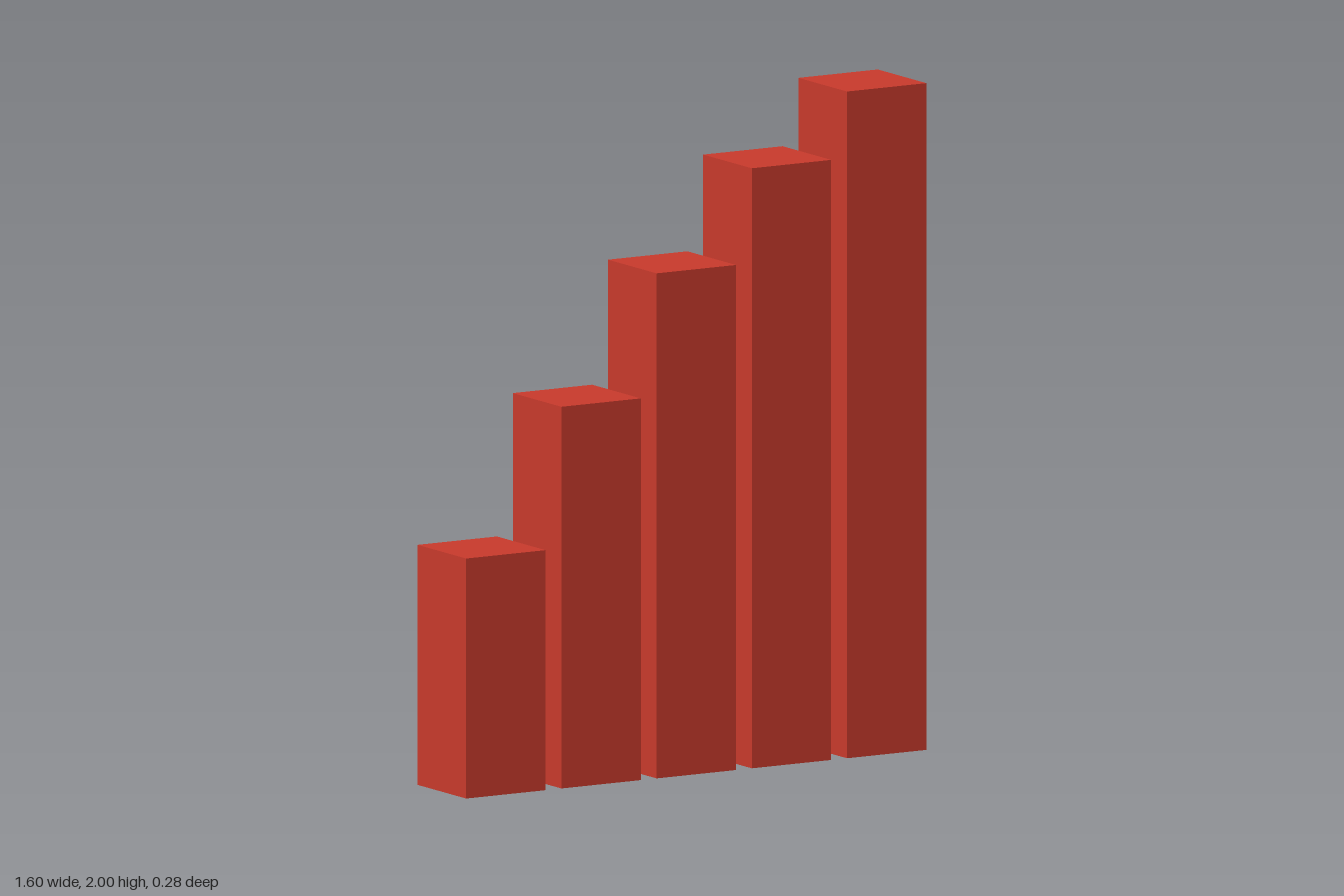
import * as THREE from 'three';

const WIDTH = 0.275;
const PITCH = 0.33;
const HEIGHTS = [0.72, 1.145, 1.515, 1.8, 2];

export function createModel() {
  const model = new THREE.Group();
  model.name = 'barChart';
  const red = new THREE.MeshStandardMaterial({ color: 0xc93a2c });
  red.name = 'red';

  // Row of square bars, rising towards +x
  HEIGHTS.forEach((height, i) => {
    const bar = new THREE.Mesh(new THREE.BoxGeometry(WIDTH, height, WIDTH), red);
    bar.name = `bar${i + 1}`;
    bar.position.set((i - (HEIGHTS.length - 1) / 2) * PITCH, height / 2, 0);
    model.add(bar);
  });
  return model;
}
